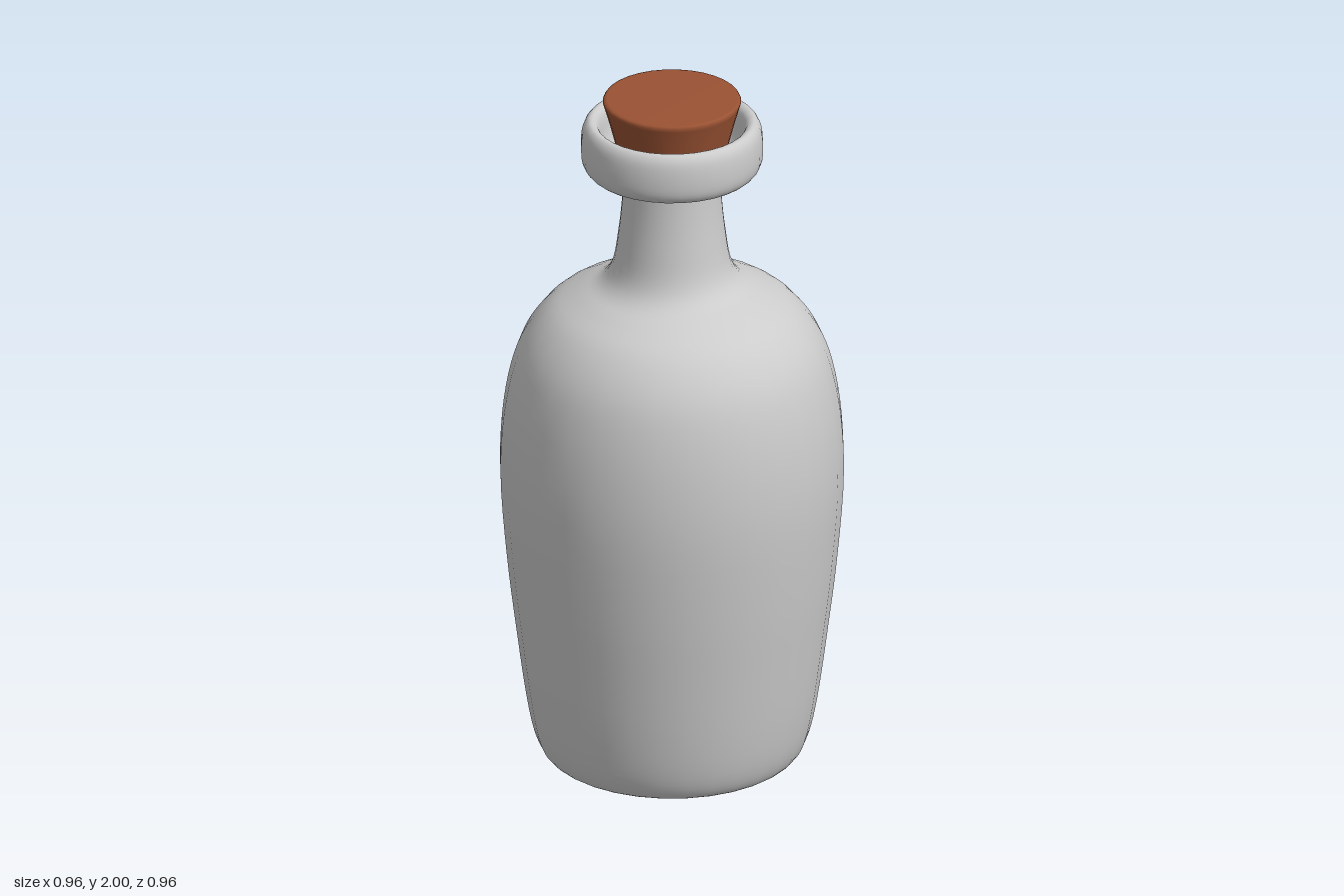
import * as THREE from 'three';

const SIDES = 32;
const material = (color) => new THREE.MeshStandardMaterial({ color, side: THREE.DoubleSide });
const toPoints = (pairs) => pairs.map(([r, y]) => new THREE.Vector2(r, y));

// Lathe a list of [radius, height] pairs, ordered from the bottom up the outside
function turned(name, points, color) {
  const mesh = new THREE.Mesh(new THREE.LatheGeometry(points, SIDES), material(color));
  mesh.name = name;
  return mesh;
}

const smooth = (pairs, divisions) => new THREE.SplineCurve(toPoints(pairs)).getPoints(divisions);

export function createModel() {
  const model = new THREE.Group();
  model.name = 'corkedBottle';

  // Flat base, rounded foot, swelling body, shoulder and neck
  const body = [
    ...toPoints([[0, 0.004], [0.15, 0.004]]),
    ...smooth([
      [0.29, 0.004], [0.335, 0.012], [0.364, 0.035], [0.388, 0.1], [0.41, 0.22], [0.434, 0.4],
      [0.458, 0.6], [0.477, 0.84], [0.472, 1.02], [0.448, 1.17], [0.41, 1.275], [0.345, 1.36],
      [0.265, 1.41], [0.2, 1.445], [0.165, 1.5], [0.148, 1.6], [0.138, 1.7], [0.134, 1.79],
    ], 64),
  ];
  model.add(turned('bottleBody', body, 0xcccccc));

  // Thick rounded lip, turning over the rim and down the inside of the neck
  const lip = [
    ...toPoints([[0.13, 1.778], [0.19, 1.778]]),
    ...smooth([
      [0.205, 1.778], [0.234, 1.788], [0.25, 1.815], [0.253, 1.865], [0.247, 1.91], [0.23, 1.932],
      [0.21, 1.925], [0.2, 1.9], [0.193, 1.86], [0.178, 1.825], [0.145, 1.8], [0.122, 1.77], [0.115, 1.68],
    ], 40),
  ];
  model.add(turned('lip', lip, 0xcccccc));

  // Tapered cork with a slightly softened top edge
  const cork = toPoints([
    [0, 1.7], [0.115, 1.7], [0.115, 1.7], [0.174, 1.93], [0.189, 1.982],
    [0.192, 1.992], [0.188, 1.999], [0.18, 2], [0, 2],
  ]);
  model.add(turned('cork', cork, 0x9a5233));

  return model;
}
